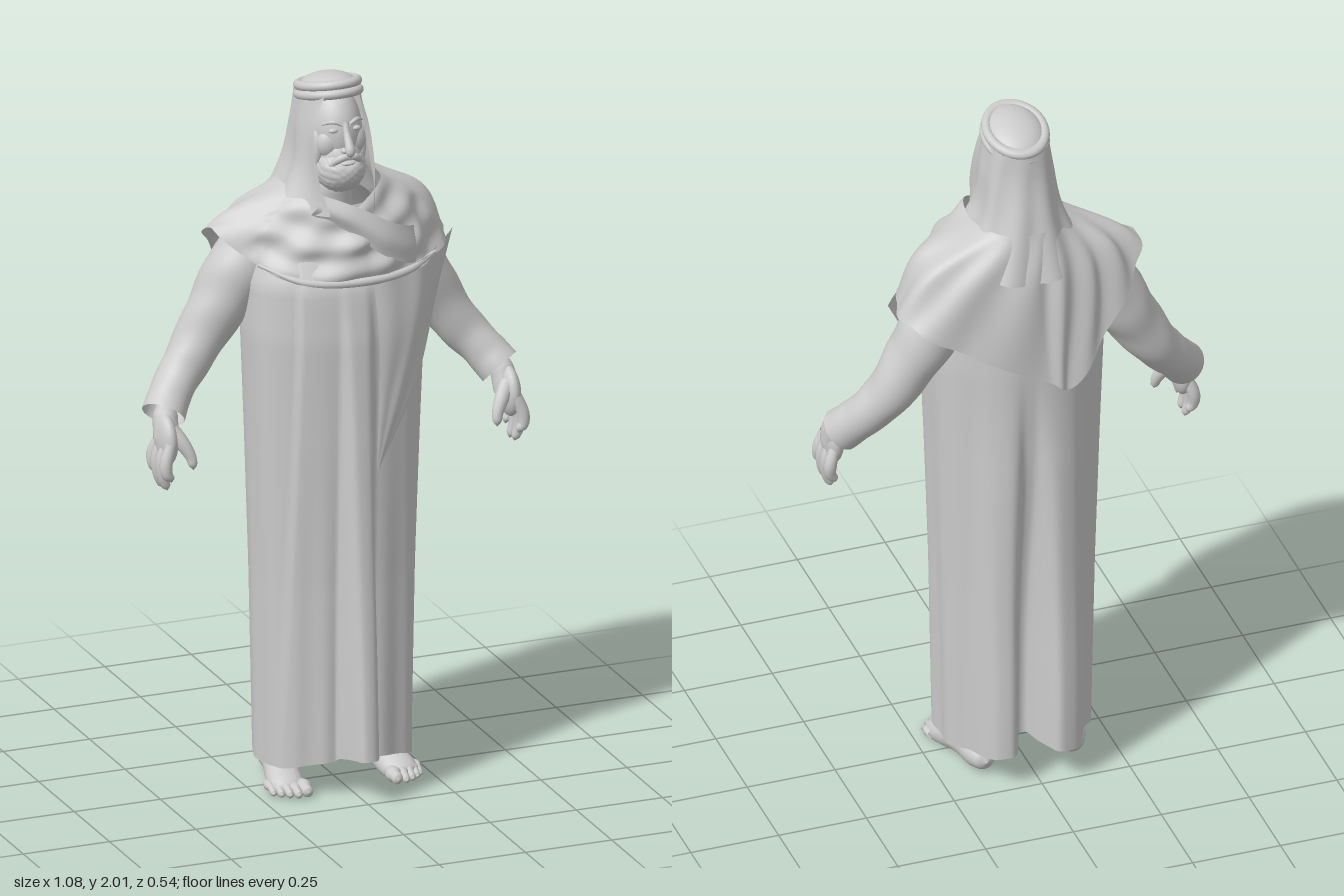
import * as THREE from 'three';

const mat = new THREE.MeshStandardMaterial({ color: 0xcccccc, side: THREE.DoubleSide });
const V = (x, y, z) => new THREE.Vector3(x, y, z);
const smooth = THREE.MathUtils.smoothstep;

function add(parent, name, geo) {
  const m = new THREE.Mesh(geo, mat);
  m.name = name;
  parent.add(m);
  return m;
}

// Smooth surface over nr x nc points given by fn(t, u); closed wraps the columns
function grid(nr, nc, fn, closed) {
  const pos = [], idx = [];
  for (let i = 0; i < nr; i++) for (let j = 0; j < nc; j++) pos.push(...fn(i / (nr - 1), j / (closed ? nc : nc - 1)).toArray());
  for (let i = 0; i < nr - 1; i++) {
    for (let j = 0; j < (closed ? nc : nc - 1); j++) {
      const k = (j + 1) % nc, a = i * nc + j, b = i * nc + k, c = a + nc, d = b + nc;
      idx.push(a, b, c, b, d, c);
    }
  }
  const g = new THREE.BufferGeometry();
  g.setAttribute('position', new THREE.Float32BufferAttribute(pos, 3));
  g.setIndex(idx);
  g.computeVertexNormals();
  return g;
}

// Cloth stretched over a few rows of control points, with optional ripple(point, t, u)
function cloth(rows, nr, nc, closed, ripple) {
  const curves = rows.map(r => new THREE.CatmullRomCurve3(r.map(p => V(...p)), closed, 'centripetal'));
  return grid(nr, nc, (t, u) => {
    const p = new THREE.CatmullRomCurve3(curves.map(c => c.getPoint(u))).getPoint(t);
    if (ripple) ripple(p, t, u);
    return p;
  }, closed);
}

// Round limb along points [x, y, z, radius]
function limb(pts, nr = 16, nc = 12, wrinkle = 0) {
  const path = new THREE.CatmullRomCurve3(pts.map(p => V(p[0], p[1], p[2])));
  const rad = new THREE.CatmullRomCurve3(pts.map(p => V(p[3], 0, 0)));
  const d = path.getPoint(1).sub(path.getPoint(0)).normalize();
  const ref = Math.abs(d.z) > 0.7 ? V(0, 1, 0) : V(0, 0, 1);
  return grid(nr, nc, (t, u) => {
    const tan = path.getTangent(t), a = u * Math.PI * 2;
    const s = V(0, 0, 0).crossVectors(tan, ref).normalize(), n = V(0, 0, 0).crossVectors(s, tan);
    const r = Math.max(rad.getPoint(t).x, 0.0005) * (1 + wrinkle * Math.sin(t * 30 + 3 * Math.sin(a)) * Math.sin(t * Math.PI));
    return path.getPoint(t).addScaledVector(s, r * Math.cos(a)).addScaledVector(n, r * Math.sin(a));
  }, true);
}

function ball(parent, name, [x, y, z], [sx, sy, sz], seg = 24) {
  const m = add(parent, name, new THREE.SphereGeometry(1, seg, Math.ceil(seg * 0.7)));
  m.position.set(x, y, z);
  m.scale.set(sx, sy, sz);
  return m;
}

// Robe profile: height, half width, front depth, back depth
const PROFILE = [[0, .21, .146, .188], [.1, .212, .146, .19], [.6, .221, .151, .198], [1, .233, .163, .205], [1.3, .245, .166, .205],
  [1.45, .24, .153, .2], [1.55, .2, .11, .17], [1.66, .1, .07, .12]];
function profileAt(y) {
  let i = 0;
  while (i < PROFILE.length - 2 && y > PROFILE[i + 1][0]) i++;
  const [a, b] = [PROFILE[i], PROFILE[i + 1]], k = (y - a[0]) / (b[0] - a[0]);
  return a.map((v, n) => v + (b[n] - v) * k);
}

function robe() {
  return grid(70, 200, (t, u) => {
    const a = u * Math.PI * 2, s = Math.sin(a), c = Math.cos(a);
    const hem = c > 0 ? 0.07 + 0.03 * c * c + 0.028 * Math.exp(-((s / 0.22) ** 6)) : 0.07 + 0.035 * c * c;
    const y = hem + (1.65 - hem) * t, [, rx, f, b] = profileAt(y);
    const x = rx * s, low = 1 - smooth(y, 0.1, 1.42);
    // Corners are squarer on the left side
    let z = c > 0 ? f * c ** (s > 0 ? 0.65 : 0.8) : -b * (-c) ** (s > 0 ? 0.55 : 0.7);
    if (c > 0) {
      const edge = 0.2 - 0.03 * y;
      z += 0.12 * Math.max(0, 1 - y / 1.5) * Math.exp(-((x / 0.041) ** 6));
      z += 0.014 * (1 - smooth(Math.abs(x), edge - 0.012, edge)) * (1 - smooth(y, 1.4, 1.6));
      z += 0.003 * low * Math.cos(x * 75);
    } else {
      z -= low * (0.085 * Math.exp(-(((x + 0.075) / 0.062) ** 4)) + 0.068 * Math.exp(-(((x - 0.105) / 0.052) ** 4)));
      z += low * 0.045 * Math.exp(-(((x - 0.022) / 0.028) ** 4));
      z -= 0.022 * Math.exp(-((x / 0.15) ** 4)) * smooth(y, 0.4, 1) * (1 - smooth(y, 1.35, 1.55));
    }
    return V(x + 0.003 * low * Math.sin(z * 60), y, z);
  }, true);
}

// Sleeve, hand and foot for the +x side
function sideParts(side) {
  const g = new THREE.Group();
  g.name = side + 'Limbs';
  add(g, 'sleeve', limb([[.17, 1.54, -.08, .085], [.24, 1.45, -.085, .09], [.308, 1.34, -.088, .078], [.387, 1.22, -.078, .064],
    [.45, 1.145, -.045, .058], [.487, 1.095, -.01, .06]], 50, 32, 0.025));
  add(g, 'wrist', limb([[.45, 1.15, -.04, .034], [.485, 1.1, 0, .034], [.493, 1.04, .027, .036]]));
  const palm = ball(g, 'palm', [.497, 1.04, .032], [.028, .07, .055]);
  palm.rotation.x = -0.2;
  [[.083, .935], [.053, .903], [.02, .9], [-.012, .93]].forEach(([z, y], i) =>
    add(g, 'finger' + (i + 1), limb([[.5, 1.04, z * .85 + .008, .015], [.517, .99, z, .0175], [.516, (y + .985) / 2, z + .003, .0155],
      [.506, y + .012, z + .003, .012], [.503, y, z + .003, 0]])));
  add(g, 'thumb', limb([[.487, 1.07, .045, .022], [.463, 1.035, .066, .02], [.445, 1.0, .08, .0155], [.441, .978, .086, .0125], [.44, .963, .088, 0]]));

  const foot = limb([[.125, .04, -.165, 0], [.126, .04, -.15, .028], [.13, .042, -.11, .042], [.145, .045, -.03, .044],
    [.163, .026, .06, .05], [.17, .018, .1, .04], [.172, .015, .115, 0]], 28, 24);
  const p = foot.attributes.position;
  for (let i = 0; i < p.count; i++) {
    p.setY(i, Math.max(p.getY(i), 0.003));
    if (p.getZ(i) > 0) p.setY(i, p.getY(i) * (1 - 3.4 * p.getZ(i)));
  }
  foot.computeVertexNormals();
  add(g, 'foot', foot);
  [[.13, .152, .017], [.156, .15, .012], [.177, .14, .0115], [.196, .126, .011], [.212, .108, .01]].forEach(([x, z, r], i) =>
    add(g, 'toe' + (i + 1), limb([[x, .022, z - .065, r], [x, .02, z - .03, r], [x, r, z - .008, r * .9], [x, r, z, 0]], 12, 10)));
  add(g, 'leg', limb([[.128, .04, -.1, .037], [.128, .12, -.09, .038], [.125, .3, -.07, .052], [.12, .5, -.04, .058]]));
  return g;
}

function head() {
  const g = new THREE.Group();
  g.name = 'head';
  ball(g, 'skull', [0, 1.85, -.01], [.078, .125, .105], 40);
  ball(g, 'jaw', [0, 1.785, .03], [.064, .07, .076]);
  add(g, 'neck', limb([[0, 1.58, -.05, .075], [0, 1.7, -.03, .06], [0, 1.8, -.01, .06]]));
  add(g, 'nose', limb([[0, 1.895, .088, .008], [0, 1.865, .1, .01], [0, 1.838, .117, .0125], [0, 1.824, .124, .0135], [0, 1.814, .12, .009], [0, 1.812, .11, 0]]));
  for (const s of [-1, 1]) {
    ball(g, 'nostril', [s * .012, 1.823, .109], [.009, .008, .012], 12);
    ball(g, 'eye', [s * .032, 1.874, .083], [.014, .007, .009], 14);
    ball(g, 'cheek', [s * .034, 1.83, .054], [.036, .042, .03], 18);
    add(g, 'brow', limb([[s * .01, 1.89, .094, .004], [s * .033, 1.899, .085, .006], [s * .06, 1.888, .063, .002]]));
    add(g, 'moustache', limb([[0, 1.806, .112, .008], [s * .02, 1.802, .109, .01], [s * .042, 1.778, .09, .009], [s * .05, 1.75, .08, .004]]));
    ball(g, 'sideburn', [s * .064, 1.81, .03], [.016, .06, .03], 16);
  }
  ball(g, 'lowerLip', [0, 1.786, .11], [.02, .006, .01], 14);
  // Curly beard
  const beard = new THREE.SphereGeometry(1, 60, 44), p = beard.attributes.position;
  for (let i = 0; i < p.count; i++) {
    const v = V(p.getX(i), p.getY(i), p.getZ(i));
    const k = 1 + 0.035 * Math.sin(v.x * 19) * Math.sin(v.y * 21 + v.x * 4) * Math.sin(v.z * 17 + 1);
    const dip = v.z > 0 ? 0.12 * Math.exp(-((v.x / .35) ** 2) - (((v.y - .5) / .2) ** 2)) : 0;
    v.multiplyScalar(k - dip);
    p.setXYZ(i, v.x * .07, v.y * .068, v.z * .077);
  }
  beard.computeVertexNormals();
  add(g, 'beard', beard).position.set(0, 1.757, .046);
  return g;
}

function headdress() {
  const g = new THREE.Group();
  g.name = 'headdress';
  // Half rows [x, y, z] from the face edge to the middle of the back
  const half = [
    [[.05, 1.965, .06], [.084, 1.955, -.02], [.066, 1.945, -.11], [0, 1.94, -.136]],
    [[.077, 1.88, .058], [.095, 1.87, -.03], [.077, 1.86, -.115], [0, 1.86, -.15]],
    [[.08, 1.76, .09], [.108, 1.75, -.02], [.095, 1.75, -.13], [0, 1.75, -.18]],
    [[.06, 1.65, .13], [.165, 1.63, 0], [.14, 1.6, -.165], [0, 1.58, -.222]]];
  const rows = half.map(h => [...h, ...h.slice(0, 3).reverse().map(([x, y, z]) => [-x, y, z])]);
  add(g, 'headscarf', cloth(rows, 36, 100, false, (p, t, u) => {
    const k = 1 + 0.05 * t * Math.sin(u * 44 + t * 2);
    p.x *= k;
    p.z += (p.z + .03) * (k - 1);
  }));
  const top = new THREE.Group();
  top.name = 'headCord';
  top.position.set(0, 1.957, -.035);
  top.rotation.x = -0.25;
  g.add(top);
  ball(top, 'crown', [0, 0, 0], [.079, .043, .097], 40);
  [[-.013, .079], [.011, .077]].forEach(([y, r]) => {
    const ring = add(top, 'cordRing', new THREE.TorusGeometry(r, .0135, 14, 56).rotateX(Math.PI / 2));
    ring.position.y = y;
    ring.scale.z = 1.2;
  });
  return g;
}

function shawl() {
  const g = new THREE.Group();
  g.name = 'shawl';
  // Rows run from the front round the left shoulder, back and right shoulder
  const neck = [[0, 1.65, .12], [.06, 1.68, .1], [.11, 1.71, .06], [.13, 1.71, -.03], [.11, 1.72, -.12], [.07, 1.72, -.17], [0, 1.72, -.185],
    [-.05, 1.72, -.18], [-.09, 1.71, -.14], [-.125, 1.7, -.09], [-.13, 1.7, -.03], [-.1, 1.69, .05], [-.05, 1.67, .1]];
  const shoulder = [[.02, 1.56, .158], [.11, 1.57, .135], [.2, 1.61, .075], [.275, 1.635, -.05], [.25, 1.62, -.14], [.15, 1.59, -.195], [0, 1.56, -.217],
    [-.08, 1.55, -.217], [-.17, 1.58, -.18], [-.235, 1.62, -.13], [-.255, 1.635, -.05], [-.185, 1.6, .04], [-.1, 1.56, .115]];
  const hem = [[.03, 1.455, .168], [.16, 1.46, .143], [.265, 1.475, .075], [.35, 1.49, -.06], [.34, 1.48, -.17], [.2, 1.395, -.22], [-.03, 1.27, -.241],
    [-.085, 1.24, -.243], [-.2, 1.38, -.212], [-.315, 1.53, -.135], [-.335, 1.59, -.06], [-.235, 1.5, .045], [-.13, 1.46, .13]];
  add(g, 'shoulderWrap', cloth([neck, shoulder, hem], 36, 150, true, (p, t, u) => {
    const k = 1 + 0.03 * Math.sin(t * Math.PI * .8) * Math.sin(u * 82 + t * 5);
    p.x *= k;
    p.z *= k;
    if (p.z > 0.02) p.z += 0.006 * Math.sin(t * 17 + p.x * 9);
  }));
  // Rolled lower edge across the chest
  add(g, 'chestFold', limb([[-.235, 1.505, .045, .005], [-.13, 1.468, .13, .01], [.03, 1.462, .164, .012], [.16, 1.468, .14, .011], [.265, 1.485, .075, .005]], 40, 10));
  // Band crossing from the right of the neck to the left of the chest
  add(g, 'crossedBand', cloth([
    [[-.07, 1.7, .1], [.02, 1.665, .14], [.12, 1.61, .145], [.2, 1.575, .09], [.23, 1.56, .0]],
    [[-.09, 1.67, .11], [0, 1.63, .15], [.1, 1.565, .165], [.195, 1.525, .12], [.24, 1.52, .02]],
    [[-.1, 1.645, .09], [-.01, 1.6, .135], [.08, 1.53, .16], [.175, 1.485, .135], [.25, 1.485, .03]]], 14, 40, false));
  // Pointed end hanging down the left of the chest
  add(g, 'hangingEnd', cloth([
    [[.05, 1.47, .166], [.16, 1.48, .142], [.27, 1.49, .065], [.37, 1.495, -.06]],
    [[.055, 1.3, .192], [.14, 1.32, .175], [.22, 1.34, .12], [.3, 1.36, .01]],
    [[.05, 1.12, .202], [.09, 1.13, .198], [.135, 1.14, .18], [.18, 1.15, .15]],
    [[.042, .94, .208], [.045, .941, .208], [.048, .942, .208], [.052, .944, .207]]], 30, 30, false,
  (p, t, u) => { p.z += 0.005 * Math.sin(u * 15) * (1 - t); }));
  return g;
}

export function createModel() {
  const model = new THREE.Group();
  model.name = 'robedMan';
  add(model, 'robe', robe());
  const left = sideParts('left'), right = sideParts('right');
  right.scale.x = -1;
  model.add(left, right, head(), headdress(), shawl());
  return model;
}
